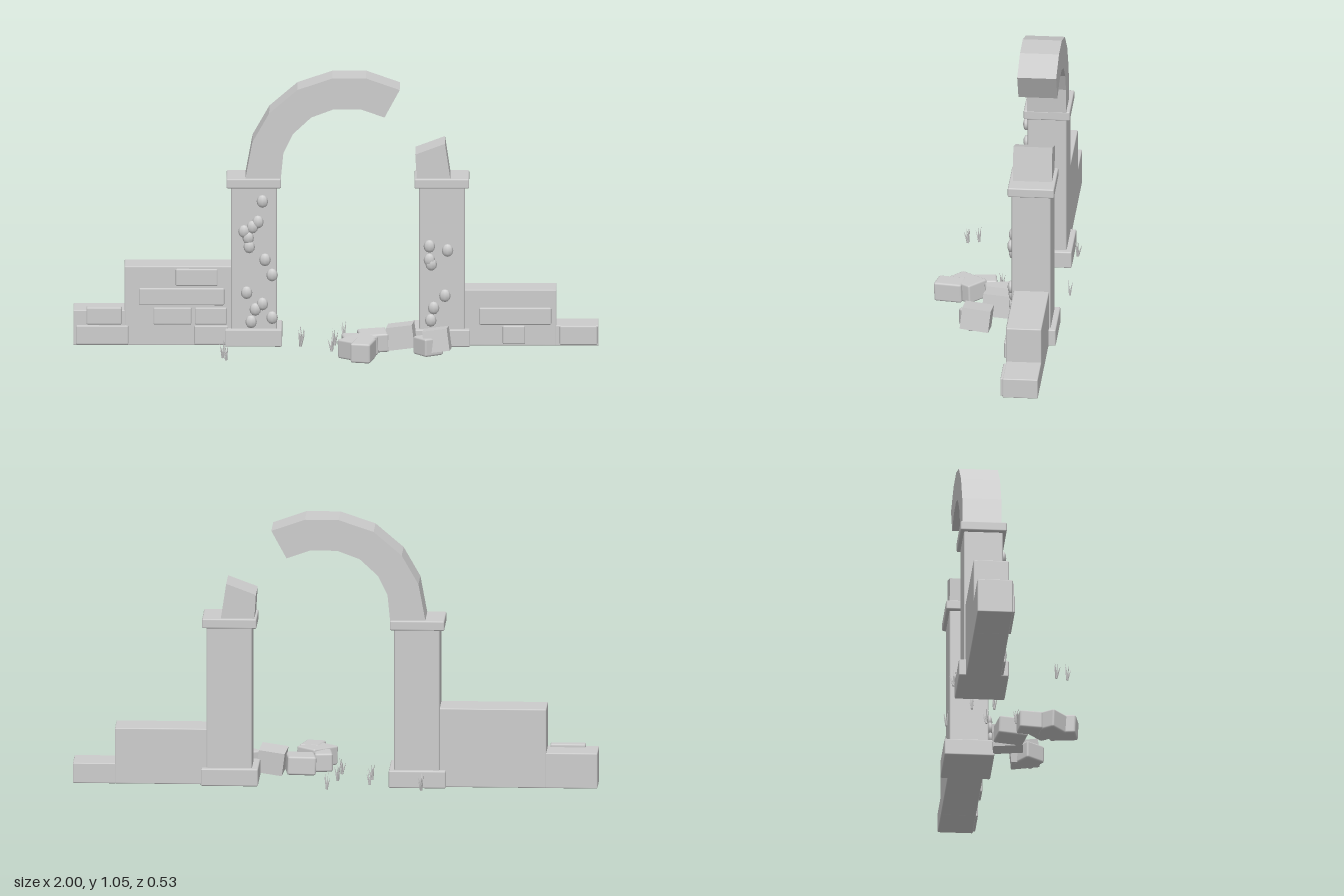
import * as THREE from 'three';
import { RoundedBoxGeometry } from 'three/addons/geometries/RoundedBoxGeometry.js';

export function createModel() {
  const root = new THREE.Group();
  root.name = 'ruinedArchway';
  const stone = new THREE.MeshStandardMaterial({ color: 0xcccccc });
  stone.name = 'pale stone';

  const group = (name) => {
    const g = new THREE.Group();
    g.name = name;
    root.add(g);
    return g;
  };
  const add = (parent, name, geo) => {
    const m = new THREE.Mesh(geo, stone);
    m.name = name;
    parent.add(m);
    return m;
  };
  // softly bevelled block given by its limits
  const block = (parent, name, x0, x1, y0, y1, z0, z1, r = 0.005) => {
    const m = add(parent, name, new RoundedBoxGeometry(x1 - x0, y1 - y0, z1 - z0, 1, r));
    m.position.set((x0 + x1) / 2, (y0 + y1) / 2, (z0 + z1) / 2);
    return m;
  };

  // pillars: base, shaft and cap
  for (const [side, cx] of [['right', -0.312], ['left', 0.404]]) {
    const p = group(side + 'Pillar');
    block(p, 'base', cx - 0.111, cx + 0.107, 0.008, 0.075, -0.237, -0.046);
    block(p, 'shaft', cx - 0.087, cx + 0.087, 0.07, 0.625, -0.216, -0.067);
    block(p, 'cap', cx - 0.105, cx + 0.103, 0.622, 0.659, -0.23, -0.053);
  }

  // broken arch: faceted ring piece and the stub opposite
  const slab = (name, pts) => {
    const shape = new THREE.Shape(pts.map(([x, y]) => new THREE.Vector2(x, y)));
    const geo = new THREE.ExtrudeGeometry(shape, { depth: 0.149, bevelEnabled: false });
    add(root, name, geo.translate(0, 0, -0.216));
  };
  slab('arch', [
    [-0.21, 0.655], [-0.2, 0.757], [-0.163, 0.832], [-0.094, 0.896], [-0.008, 0.928], [0.094, 0.928], [0.185, 0.896],
    [0.243, 1.003], [0.115, 1.048], [-0.013, 1.048], [-0.147, 1.003], [-0.254, 0.912], [-0.318, 0.8], [-0.345, 0.655],
  ]);
  slab('archStub', [[0.308, 0.655], [0.436, 0.655], [0.415, 0.794], [0.302, 0.752]]);

  // stepped side walls
  const walls = group('walls');
  for (const [x0, x1, top] of [[-1, -0.8, 0.145], [-0.805, -0.395, 0.315], [0.485, 0.84, 0.225], [0.835, 1, 0.087]])
    block(walls, 'wall', x0, x1, 0.008, top, -0.21, -0.075, 0.004);

  // raised bricks on the wall fronts
  const bricks = group('bricks');
  for (const [x0, x1, y0, y1] of [
    [-0.99, -0.79, 0.012, 0.086], [-0.95, -0.815, 0.09, 0.156],
    [-0.54, -0.41, 0.012, 0.086], [-0.695, -0.55, 0.09, 0.156], [-0.537, -0.415, 0.09, 0.156],
    [-0.75, -0.425, 0.165, 0.231], [-0.61, -0.45, 0.24, 0.306],
    [0.545, 0.82, 0.09, 0.156], [0.635, 0.72, 0.015, 0.086], [0.852, 0.995, 0.012, 0.086],
  ]) block(bricks, 'brick', x0, x1, y0, y1, -0.105, -0.066);

  // round leaves climbing the pillar fronts
  const leaves = group('climbingLeaves');
  const leafGeo = new THREE.SphereGeometry(1, 8, 6).scale(0.022, 0.025, 0.012);
  for (const [x, y] of [
    [-0.28, 0.572], [-0.297, 0.492], [-0.318, 0.472], [-0.35, 0.455], [-0.334, 0.43], [-0.33, 0.395], [-0.27, 0.345],
    [-0.243, 0.286], [-0.34, 0.217], [-0.28, 0.173], [-0.307, 0.152], [-0.243, 0.12], [-0.323, 0.104],
    [0.356, 0.398], [0.425, 0.382], [0.356, 0.345], [0.363, 0.328], [0.415, 0.206], [0.372, 0.158], [0.361, 0.11],
  ]) add(leaves, 'leaf', leafGeo).position.set(x, y, -0.057);

  // fallen stones: position, size, rotation
  const rubble = group('rubble');
  for (const [p, s, r] of [
    [[0.06, 0.043, 0.07], [0.07, 0.072, 0.09], [0, 0.12, 0]],
    [[0.142, 0.045, 0.005], [0.11, 0.072, 0.115], [0.04, 0.13, 0.04]],
    [[0.085, 0.047, 0.14], [0.132, 0.075, 0.096], [0, 0.84, 0.05]],
    [[0.105, 0.046, 0.2], [0.078, 0.076, 0.11], [0.04, -0.22, 0]],
    [[0.352, 0.043, 0.09], [0.085, 0.07, 0.085], [0, 0.62, 0]],
  ]) {
    const m = add(rubble, 'stone', new RoundedBoxGeometry(...s, 1, 0.008));
    m.position.set(...p);
    m.rotation.set(...r);
  }
  for (const [p, s, r] of [
    [[0.25, 0.062, 0], [0.1, 0.088, 0.115], [-0.05, -0.08, 0.13]],
    [[0.385, 0.062, 0.075], [0.095, 0.085, 0.11], [-0.1, -0.07, 0.13]],
  ]) {
    const m = add(rubble, 'archStone', new THREE.BoxGeometry(...s));
    m.position.set(...p);
    m.rotation.set(...r);
  }

  // grass tufts of splayed blades
  const bladeGeo = new THREE.ConeGeometry(0.005, 0.066, 4).translate(0, 0.033, 0);
  [[-0.33, -0.25], [0.03, -0.25], [-0.015, 0.013], [-0.43, 0.135], [-0.417, 0.177],
    [-0.135, -0.08], [-0.13, -0.165], [-0.005, -0.1]].forEach(([x, z], i) => {
    const tuft = group('grassTuft');
    tuft.position.set(x, 0.004, z);
    for (let k = 0; k < 4; k++) {
      const blade = add(tuft, 'grassBlade', bladeGeo);
      blade.rotation.order = 'YXZ';
      blade.rotation.set(0.14 + 0.1 * (k % 3), i * 0.9 + k * Math.PI / 2, 0);
      blade.scale.y = 1 - 0.12 * (k % 3);
    }
  });
  return root;
}
